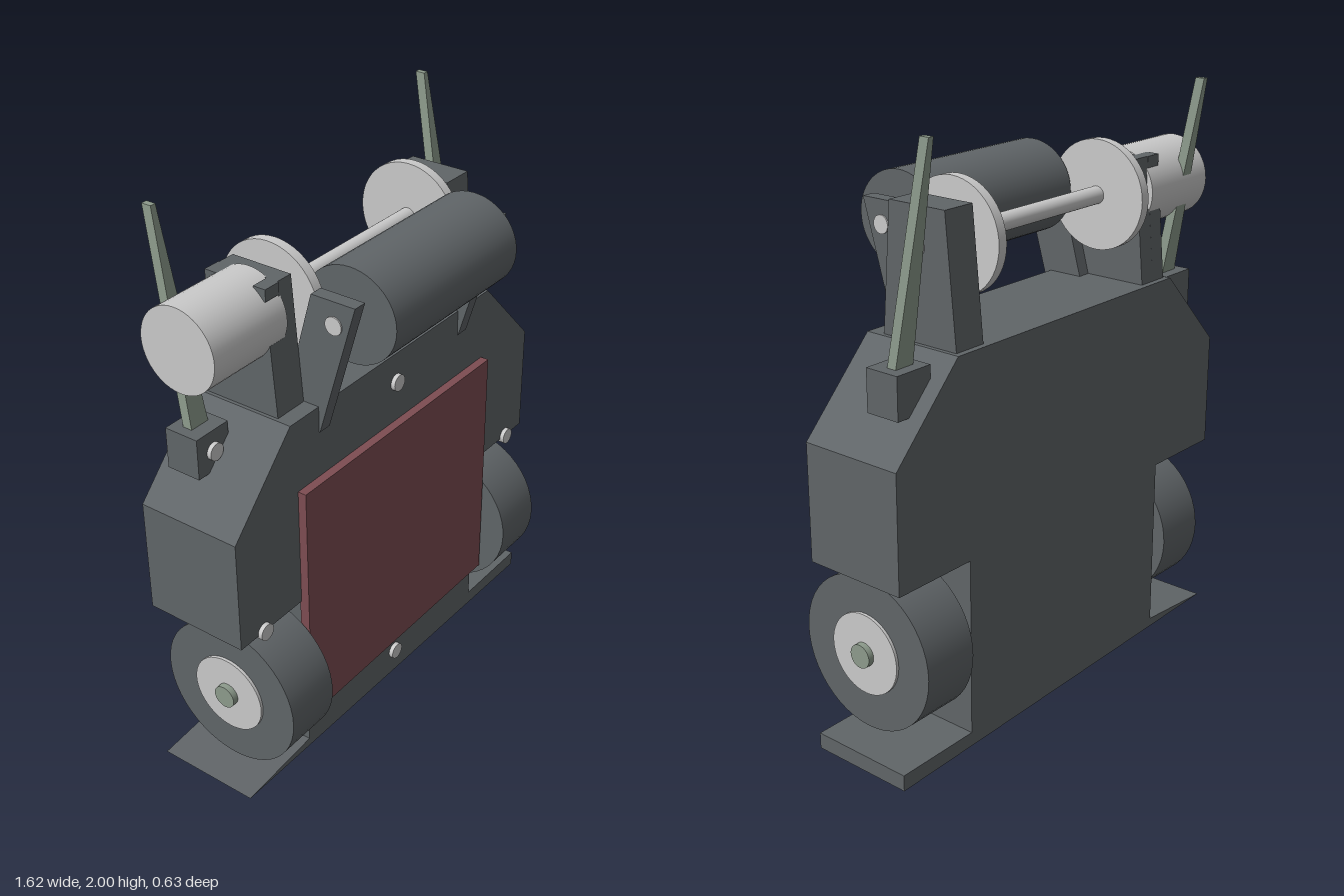
import * as THREE from 'three';

const material = (name, color) => {
  const m = new THREE.MeshStandardMaterial({ color });
  m.name = name;
  return m;
};

export function createModel() {
  const model = new THREE.Group();
  model.name = 'wheeledRobot';
  const grey = material('darkGrey', 0x606568);
  const red = material('dullRed', 0x7d4d52);
  const silver = material('silver', 0xcacaca);
  const green = material('greyGreen', 0x8d9b8c);

  const add = (name, geometry, mat, x = 0, y = 0, z = 0) => {
    const mesh = new THREE.Mesh(geometry, mat);
    mesh.name = name;
    mesh.position.set(x, y, z);
    model.add(mesh);
    return mesh;
  };
  const box = (name, mat, x0, x1, y0, y1, z0, z1) =>
    add(name, new THREE.BoxGeometry(x1 - x0, y1 - y0, z1 - z0), mat,
      (x0 + x1) / 2, (y0 + y1) / 2, (z0 + z1) / 2);
  // Cylinder lying along x
  const rod = (name, mat, r, x0, x1, y, z) =>
    add(name, new THREE.CylinderGeometry(r, r, x1 - x0, 48).rotateZ(Math.PI / 2), mat, (x0 + x1) / 2, y, z);
  // Short cylinder facing forwards
  const bolt = (x, y, z) =>
    add('bolt', new THREE.CylinderGeometry(0.029, 0.029, 0.03, 24).rotateX(Math.PI / 2), silver, x, y, z);
  const extrude = (points, depth) => new THREE.ExtrudeGeometry(
    new THREE.Shape(points.map(([a, b]) => new THREE.Vector2(a, b))), { depth, bevelEnabled: false });
  // Side profile of [z, y] points, extruded from x0 to x1
  const sidePlate = (name, points, x0, x1) => {
    const g = extrude(points.map(([z, y]) => [-z, y]), x1 - x0).rotateY(Math.PI / 2);
    return add(name, g, grey, x0, 0, 0);
  };

  // Body with wheel recesses and a slightly uneven foot
  add('body', extrude([
    [-0.81, 0.03], [0.81, 0], [0.81, 0.055], [0.495, 0.055], [0.495, 0.665], [0.81, 0.665],
    [0.81, 1.06], [0.54, 1.34], [-0.54, 1.34], [-0.81, 1.06], [-0.81, 0.665],
    [-0.495, 0.665], [-0.495, 0.055],
  ], 0.37), grey, 0, 0, -0.285);
  box('frontPanel', red, -0.513, 0.513, 0.19, 1.09, 0.08, 0.115);
  for (const [x, y] of [[0, 1.235], [0, 0.11], [-0.7, 0.67], [0.7, 0.67]]) bolt(x, y, 0.085);

  for (const s of [-1, 1]) {
    const sideRod = (name, mat, r, a, b, y, z) =>
      rod(name, mat, r, Math.min(s * a, s * b), Math.max(s * a, s * b), y, z);
    // Wheels
    sideRod('wheel', grey, 0.263, 0.52, 0.724, 0.36, -0.053);
    sideRod('hub', silver, 0.138, 0.51, 0.734, 0.36, -0.053);
    sideRod('wheelAxle', green, 0.04, 0.49, 0.755, 0.36, -0.053);

    // Antenna and its mount
    box('antennaMount', grey, s * 0.67 - 0.07, s * 0.67 + 0.07, 1.18, 1.32, -0.23, -0.107);
    bolt(s * 0.67, 1.25, -0.107);
    const g = new THREE.BoxGeometry(1, 0.72, 0.034).toNonIndexed();
    const p = g.attributes.position;
    for (let i = 0; i < p.count; i++) {
      const top = p.getY(i) > 0;
      p.setX(i, p.getX(i) * (top ? 0.02 : 0.076));
      p.setY(i, top ? 2 : 1.28);
      p.setZ(i, p.getZ(i) + (top ? -0.293 : -0.167));
    }
    g.computeVertexNormals();
    add('antenna', g, green, s * 0.668);

    // Spool disc and roller arm
    sideRod('spoolDisc', silver, 0.185, 0.34, 0.375, 1.637, -0.115);
    sidePlate('rollerArm', [[0.225, 1.715], [0.065, 1.715], [-0.04, 1.34], [-0.04, 1.25], [0.088, 1.25]],
      s > 0 ? 0.355 : -0.403, s > 0 ? 0.403 : -0.355);
  }

  // Left tower is solid; right tower is notched to hold the motor
  const tower = [[0.03, 1.33], [-0.005, 1.76], [-0.225, 1.76], [-0.265, 1.33]];
  sidePlate('leftTower', tower, 0.405, 0.525);
  sidePlate('rightTower', tower, -0.467, -0.405);
  sidePlate('rightTowerBase', [[0.03, 1.33], [0.01, 1.58], [-0.242, 1.58], [-0.265, 1.33]], -0.528, -0.467);
  for (const [z0, z1] of [[-0.228, -0.18], [-0.045, 0]]) {
    box('motorClaw', grey, -0.528, -0.467, 1.72, 1.76, z0, z1);
  }
  rod('motor', silver, 0.139, -0.78, -0.46, 1.637, -0.117);

  // Spool shaft, roller and roller pin
  rod('spoolShaft', silver, 0.03, -0.41, 0.542, 1.637, -0.115);
  rod('roller', grey, 0.158, -0.325, 0.325, 1.637, 0.148).scale.z = 1.06;
  rod('rollerPin', silver, 0.03, -0.408, 0.408, 1.637, 0.148);

  return model;
}
